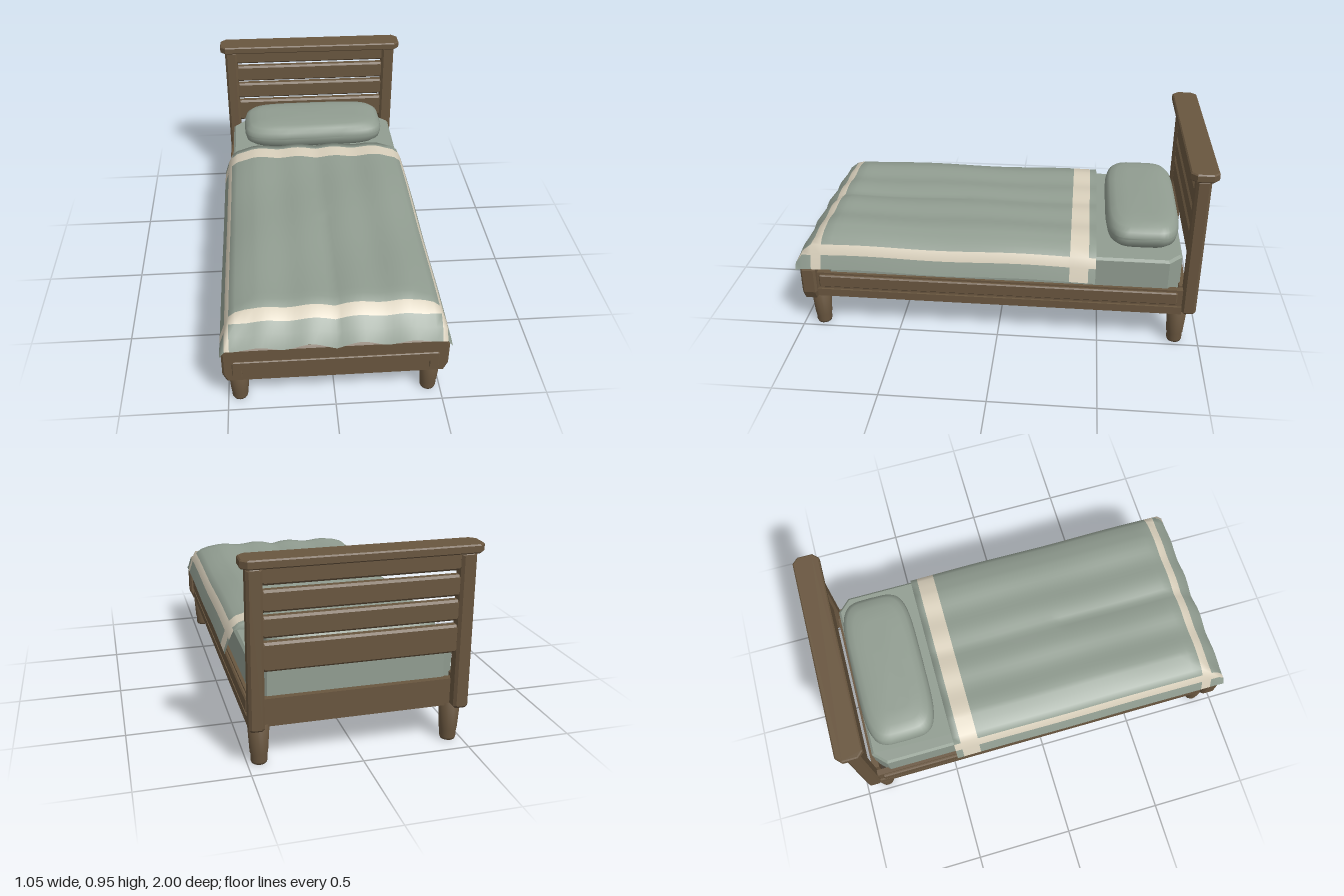
import * as THREE from 'three';

const mat = (name, color, side = THREE.FrontSide) => {
  const m = new THREE.MeshStandardMaterial({ color, side });
  m.name = name;
  return m;
};

// Box with cut corners (k, seen along z) and chamfered front and back edges (b)
function cutBox(w, h, d, k, b) {
  const x = w / 2, y = h / 2;
  const shape = new THREE.Shape([[x - k, -y], [x, -y + k], [x, y - k], [x - k, y], [-x + k, y],
    [-x, y - k], [-x, -y + k], [-x + k, -y]].map(p => new THREE.Vector2(...p)));
  return slab(shape, d, b);
}

// Extruded outline, centred on z, with a one-step chamfer
function slab(shape, d, b) {
  const g = new THREE.ExtrudeGeometry(shape, {
    depth: d - 2 * b, bevelThickness: b, bevelSize: b, bevelOffset: -b, bevelSegments: 1,
  });
  return g.translate(0, 0, b - d / 2);
}

function outline(points) {
  const all = [...points, ...points.slice().reverse().map(([x, y]) => [-x, y])];
  return new THREE.Shape(all.map(p => new THREE.Vector2(...p)));
}

// Plump pillow lofted from rounded rectangles: [y, half width, half depth]
function pillowGeometry() {
  const rings = [[0.46, 0, 0], [0.46, 0.31, 0.1], [0.472, 0.365, 0.155], [0.495, 0.392, 0.175],
    [0.526, 0.4, 0.182], [0.532, 0.394, 0.177], [0.538, 0.4, 0.182], [0.565, 0.39, 0.175],
    [0.585, 0.365, 0.158], [0.596, 0.32, 0.128], [0.602, 0.25, 0.08], [0.603, 0, 0]];
  const n = 48, pos = [], idx = [];
  const round = v => Math.sign(v) * Math.abs(v) ** 0.45;
  rings.forEach(([y, w, d], r) => {
    for (let i = 0; i < n; i++) {
      const a = (i / n) * Math.PI * 2;
      pos.push(w * round(Math.cos(a)), y, d * round(Math.sin(a)));
      if (r === rings.length - 1) continue;
      const p = r * n + i, q = r * n + (i + 1) % n;
      idx.push(p, p + n, q, q, p + n, q + n);
    }
  });
  const g = new THREE.BufferGeometry();
  g.setAttribute('position', new THREE.Float32BufferAttribute(pos, 3));
  g.setIndex(idx);
  g.computeVertexNormals();
  return g;
}

// Draped sheet; group 0 is plain cloth, group 1 the stripes
function blanketGeometry() {
  const side = [[0.52, 0.17], [0.497, 0.1], [0.475, 0.05], [0.445, 0.022], [0.4, 0.008]];
  const cols = side.map(([x, d]) => [-x, d]);
  for (let i = 0; i <= 28; i++) cols.push([-0.36 + i * 0.72 / 28, 0]);
  cols.push(...side.slice().reverse());
  const rows = [[-0.475, 0.04], [-0.475, 0], [-0.44, 0], [-0.35, 0]];
  for (let i = 1; i <= 30; i++) rows.push([-0.35 + i * 1.17 / 30, 0]);
  rows.push([0.87, 0.008], [0.92, 0.045], [0.965, 0.085], [1, 0.137]);

  const pos = [], plain = [], striped = [], n = cols.length;
  rows.forEach(([z, dz], r) => cols.forEach(([x, dx], c) => {
    const ripple = 0.005 * Math.cos(x * 30 + Math.PI) + 0.004 * Math.sin(z * 8 + x * 5);
    const fold = -0.008 * Math.exp(-((x / 0.025) ** 2)) * (z > 0.2 ? 1 : 0.4);
    const hem = r === rows.length - 1 ? 0.008 * Math.cos(x * 25 + Math.PI) : 0;
    const drop = r === 0 ? Math.max(dx, 0.045) : Math.max(dx, dz);
    pos.push(x, 0.517 - drop + ripple + fold + hem, z);
    if (r === rows.length - 1 || c === n - 1) return;
    const p = r * n + c;
    const stripe = c === 1 || c === n - 3 || r === 2 || r === rows.length - 4;
    (stripe ? striped : plain).push(p, p + n, p + 1, p + 1, p + n, p + n + 1);
  }));
  const g = new THREE.BufferGeometry();
  g.setAttribute('position', new THREE.Float32BufferAttribute(pos, 3));
  g.setIndex([...plain, ...striped]);
  g.addGroup(0, plain.length, 0);
  g.addGroup(plain.length, striped.length, 1);
  g.computeVertexNormals();
  return g;
}

export function createModel() {
  const bed = new THREE.Group();
  bed.name = 'bed';
  const wood = mat('wood', 0x69563f);
  const darkWood = mat('dark wood', 0x3d3225);
  const linen = mat('green linen', 0x919d91);
  const cloth = mat('green blanket', 0x919d91, THREE.DoubleSide);
  const cream = mat('cream stripe', 0xd8cfbb, THREE.DoubleSide);
  const add = (name, geometry, material, x = 0, y = 0, z = 0) => {
    const m = new THREE.Mesh(geometry, material);
    m.name = name;
    m.position.set(x, y, z);
    bed.add(m);
    return m;
  };

  // Headboard
  add('headboardCap', cutBox(1.05, 0.13, 0.04, 0.028, 0.006), wood, 0, 0.93, -0.935).rotation.x = Math.PI / 2;
  [[0.45, 0.58], [0.6, 0.695], [0.712, 0.808], [0.828, 0.912]].forEach(([lo, hi]) =>
    add('headboardSlat', cutBox(0.88, hi - lo, 0.045, 0.012, 0.01), wood, 0, (lo + hi) / 2, -0.935));

  // Paired posts, legs and side rails
  const legProfile = [[0, 0], [0.034, 0], [0.038, 0.012], [0.038, 0.045], [0.041, 0.05], [0.05, 0.19], [0, 0.19]]
    .map(p => new THREE.Vector2(...p));
  for (const s of [-1, 1]) {
    add('headboardPost', cutBox(0.07, 0.73, 0.07, 0.012, 0.012), wood, s * 0.465, 0.545, -0.935);
    for (const z of [0.905, -0.885]) add('leg', new THREE.LatheGeometry(legProfile, 16), wood, s * 0.445, 0, z);
    add('sideRail', new THREE.BoxGeometry(0.03, 0.13, 1.81), wood, s * 0.47, 0.245, 0.005);
    add('sideRailLip', new THREE.BoxGeometry(0.045, 0.04, 1.81), wood, s * 0.4725, 0.2, 0.005);
    add('sideRailPanel', cutBox(0.03, 0.066, 1.77, 0.006, 0.006), wood, s * 0.483, 0.267, 0.01);
  }

  // Rear rail and underside
  add('rearRail', new THREE.BoxGeometry(0.88, 0.13, 0.035), wood, 0, 0.245, -0.9);
  add('baseBoard', new THREE.BoxGeometry(0.93, 0.03, 1.8), darkWood, 0, 0.215, 0.005);

  // Footboard with raised bracket trim
  add('footboard', slab(outline([[0.495, 0.165], [0.515, 0.21], [0.515, 0.335], [0.502, 0.364]]), 0.075, 0.01),
    wood, 0, 0, 0.9425);
  add('footboardTrim', slab(outline([[0.425, 0.24], [0.425, 0.2], [0.463, 0.2], [0.47, 0.207],
    [0.47, 0.283], [0.463, 0.29]]), 0.02, 0.004), wood, 0, 0, 0.977);

  // Bedding
  add('mattress', cutBox(0.94, 1.79, 0.21, 0.065, 0.012), linen, 0, 0.357, 0.005).rotation.x = -Math.PI / 2;
  add('pillow', pillowGeometry(), linen, 0, 0, -0.7);
  add('blanket', blanketGeometry(), [cloth, cream]);
  return bed;
}
